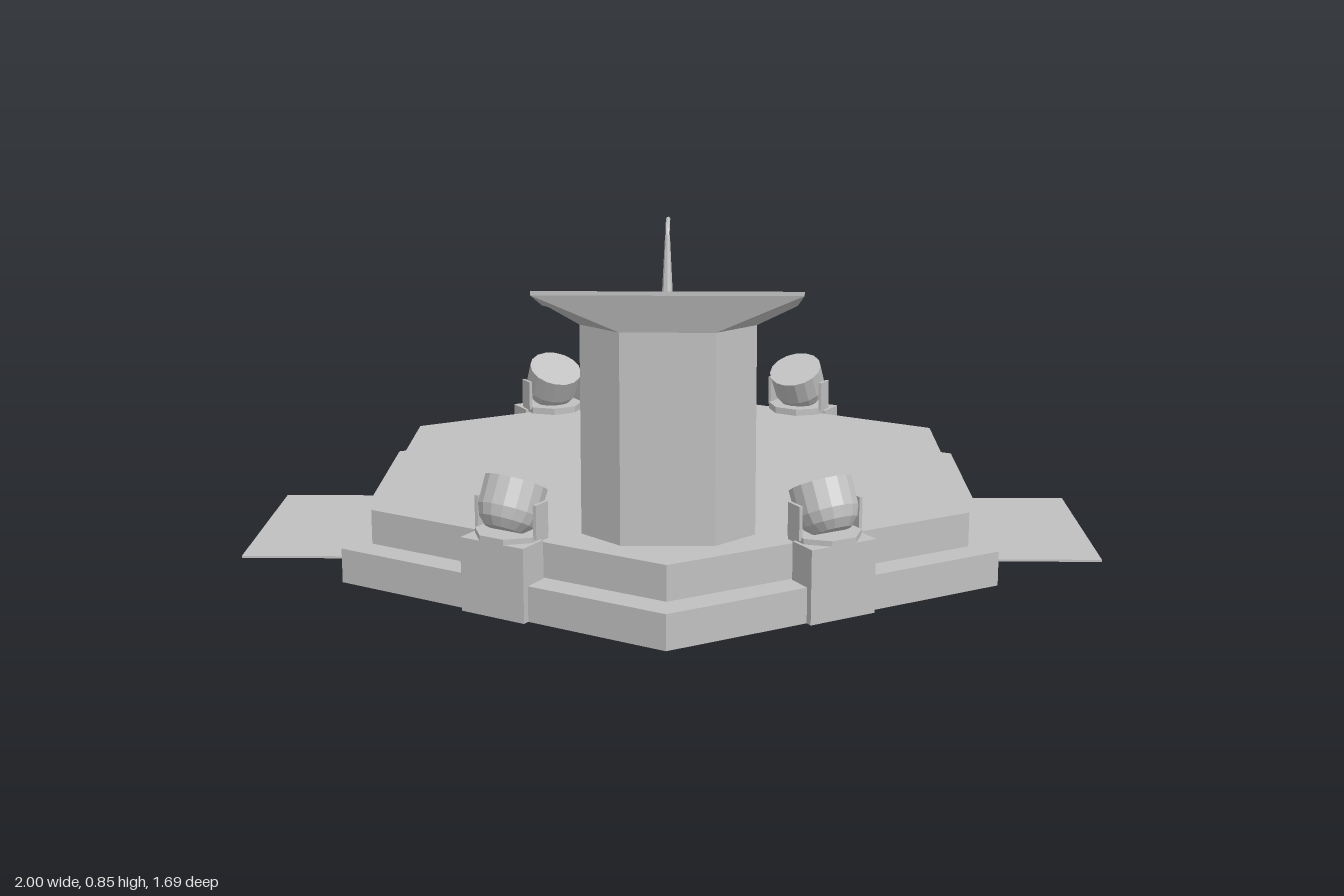
import * as THREE from 'three';

const grey = new THREE.MeshStandardMaterial({ color: 0xc0c0c0 });
grey.name = 'stage grey';
grey.flatShading = true;
grey.side = THREE.DoubleSide;

function part(name, geometry, x = 0, y = 0, z = 0) {
  const mesh = new THREE.Mesh(geometry, grey);
  mesh.name = name;
  mesh.position.set(x, y, z);
  return mesh;
}

// Skin through convex rings of [x, y, z] points, closed on top only
function loft(rings) {
  const v = [];
  const n = rings[0].length;
  for (let r = 0; r + 1 < rings.length; r++) {
    for (let i = 0; i < n; i++) {
      const j = (i + 1) % n;
      const [a, b, c, d] = [rings[r][i], rings[r][j], rings[r + 1][j], rings[r + 1][i]];
      v.push(...a, ...b, ...c, ...a, ...c, ...d);
    }
  }
  const top = rings[rings.length - 1];
  for (let i = 1; i + 1 < n; i++) v.push(...top[0], ...top[i], ...top[i + 1]);
  const g = new THREE.BufferGeometry();
  g.setAttribute('position', new THREE.Float32BufferAttribute(v, 3));
  g.computeVertexNormals();
  return g;
}

// Ring from an [x, z] outline; y is a number or a function of z
const ring = (outline, y) => outline.map(([x, z]) => [x, typeof y === 'function' ? y(z) : y, z]);

const hexagon = (w, corner, tip) =>
  [[0, tip], [w, corner], [w, -corner], [0, -tip], [-w, -corner], [-w, corner]];

// Spotlight on its pedestal; local +z points away from the stage centre
function makeSpotlight() {
  const g = new THREE.Group();
  g.name = 'spotlight';
  g.add(part('pedestal', new THREE.BoxGeometry(0.163, 0.165, 0.074), 0, 0.0825, 0.037));
  const base = part('lampBase', new THREE.CylinderGeometry(0.08, 0.08, 0.017, 8), 0, 0.1685, 0);
  base.rotation.y = Math.PI / 8;
  g.add(base);
  for (const s of [-1, 1]) {
    g.add(part('yokeArm', new THREE.BoxGeometry(0.008, 0.075, 0.045), s * 0.076, 0.208, 0));
  }
  const profile = [[0, -0.06], [0.042, -0.06], [0.06, -0.042], [0.069, -0.018], [0.07, 0.045], [0, 0.045]]
    .map(([x, y]) => new THREE.Vector2(x, y));
  const can = part('lampCan', new THREE.LatheGeometry(profile, 16), 0, 0.235, 0);
  can.rotation.x = -0.49;
  g.add(can);
  return g;
}

function makeLectern() {
  const g = new THREE.Group();
  g.name = 'lectern';
  const post = [[-0.1, 0.64], [0.1, 0.64], [0.187, 0.555], [0.187, 0.465], [-0.187, 0.465], [-0.187, 0.555]];
  g.add(part('column', loft([ring(post, 0.158), ring(post, 0.618)])));
  // Sloping desk flaring out from the column
  const desk = [[-0.28, 0.665], [0.28, 0.665], [0.28, 0.55], [0.28, 0.385], [-0.28, 0.385], [-0.28, 0.55]];
  const slope = (z) => 0.626 + 0.26 * (z - 0.385);
  g.add(part('desk', loft([ring(post, 0.617), ring(desk, slope), ring(desk, (z) => slope(z) + 0.009)])));
  // Microphone with a tapered stem and bent neck
  const stem = part('microphoneStem', new THREE.CylinderGeometry(0.005, 0.011, 0.118, 8), 0, 0.761, 0.642);
  stem.rotation.x = -0.16;
  g.add(stem);
  const neck = new THREE.CatmullRomCurve3([
    [0, 0.815, 0.633], [0, 0.83, 0.622], [0, 0.836, 0.6], [0, 0.841, 0.552],
  ].map((p) => new THREE.Vector3(...p)));
  g.add(part('microphoneNeck', new THREE.TubeGeometry(neck, 10, 0.0045, 8)));
  return g;
}

export function createModel() {
  const model = new THREE.Group();
  model.name = 'speakerStage';

  // Two-step platform, hollow underneath
  const lower = hexagon(0.733, 0.422, 0.843);
  const upper = hexagon(0.67, 0.385, 0.768);
  model.add(part('platform', loft([
    ring(lower, 0), ring(lower, 0.079), ring(upper, 0.079), ring(upper, 0.158),
  ])));

  // Flat floor plates on both sides
  for (const s of [-1, 1]) {
    model.add(part('floorPlate', new THREE.BoxGeometry(0.268, 0.005, 0.508), s * 0.866, 0.0025, -0.003));
  }

  // Four spotlights on the slanted edges
  for (const sx of [-1, 1]) {
    for (const sz of [-1, 1]) {
      const lamp = makeSpotlight();
      lamp.position.set(sx * 0.335, 0, sz * 0.583);
      lamp.rotation.y = Math.atan2(sx * 0.5, sz * 0.866);
      model.add(lamp);
    }
  }

  model.add(makeLectern());
  return model;
}
